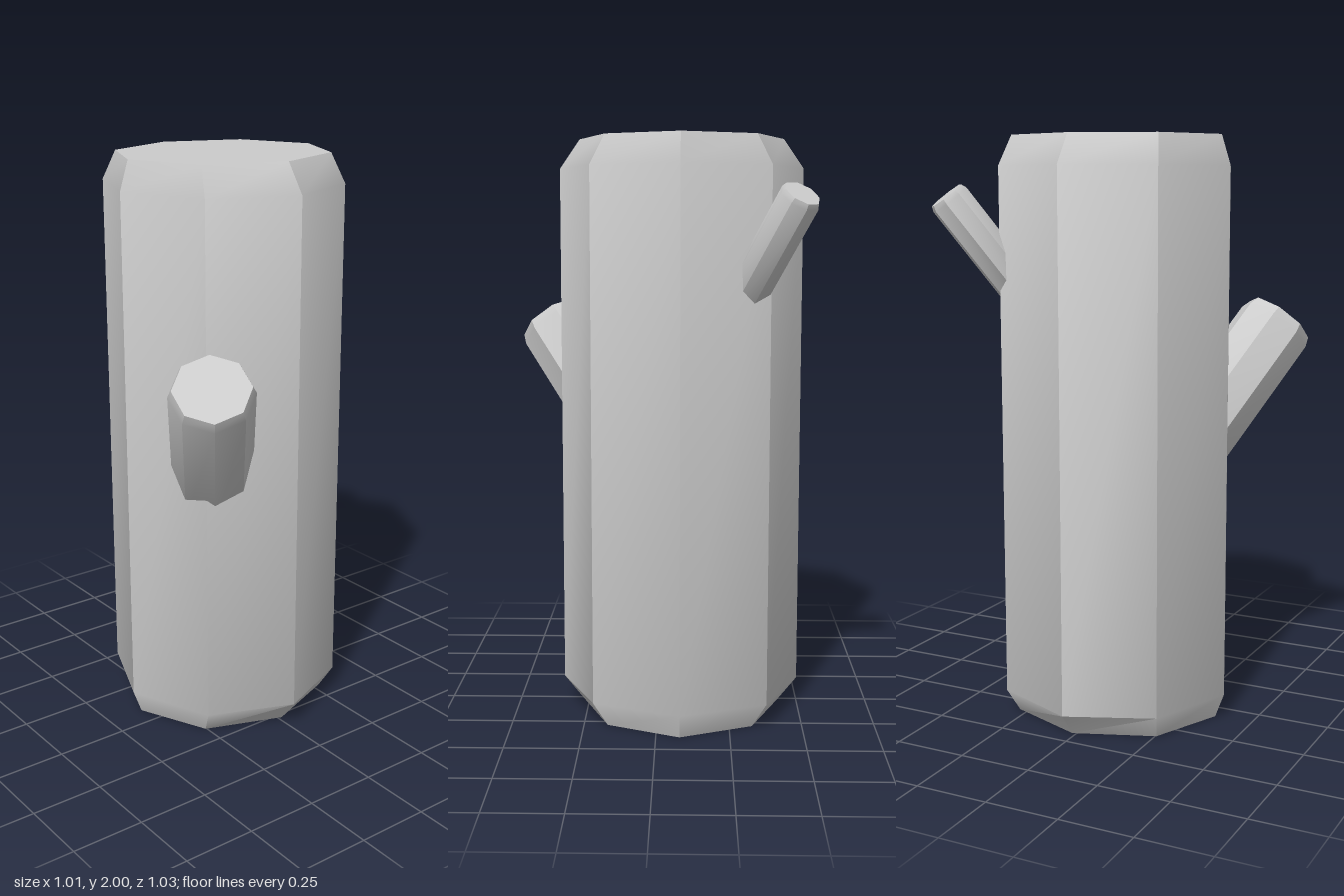
import * as THREE from 'three';
import { toCreasedNormals } from 'three/addons/utils/BufferGeometryUtils.js';

const material = new THREE.MeshStandardMaterial({ color: 0xcccccc });

// Eight-sided log with chamfered ends; rings run bottom to top as [radiusX, radiusZ, y]
function logGeometry(rings) {
  const geometry = new THREE.CylinderGeometry(1, 1, 1, 8, rings.length - 1);
  const pos = geometry.attributes.position;
  for (let i = 0; i < pos.count; i++) {
    const row = Math.round((pos.getY(i) + 0.5) * (rings.length - 1));
    const [rx, rz, y] = rings[row];
    pos.setXYZ(i, pos.getX(i) * rx, y, pos.getZ(i) * rz);
  }
  return toCreasedNormals(geometry, THREE.MathUtils.degToRad(36));
}

// Branch whose cut end is centred on tip; corner points from the axis to one corner of the cut
function makeBranch(name, tip, direction, corner, length, radius, capRadius, bevel) {
  const mesh = new THREE.Mesh(logGeometry([
    [capRadius, capRadius, -length],
    [radius, radius, -length + bevel],
    [radius, radius, -bevel],
    [capRadius, capRadius, 0],
  ]), material);
  const axis = new THREE.Vector3(...direction).normalize();
  const side = new THREE.Vector3().crossVectors(axis, new THREE.Vector3(...corner)).normalize();
  const out = new THREE.Vector3().crossVectors(side, axis);
  mesh.quaternion.setFromRotationMatrix(new THREE.Matrix4().makeBasis(side, axis, out));
  mesh.position.set(...tip);
  mesh.name = name;
  return mesh;
}

export function createModel() {
  const group = new THREE.Group();
  group.name = 'treeStump';

  // Upright trunk
  const trunk = new THREE.Mesh(logGeometry([
    [0.379, 0.351, 0],
    [0.411, 0.42, 0.085],
    [0.411, 0.42, 1.9],
    [0.379, 0.351, 2],
  ]), material);
  trunk.position.set(0.014, 0, -0.08);
  trunk.name = 'trunk';
  group.add(trunk);

  // Thick sawn-off branch at the front, thin one at the back
  group.add(makeBranch('frontBranch', [-0.395, 1.355, 0.41], [-0.39, 0.755, 0.53],
    [-0.115, -0.065, 0.008], 0.7, 0.139, 0.127, 0.035));
  group.add(makeBranch('backBranch', [0.453, 1.803, -0.462], [0.46, 0.79, -0.4],
    [0.05, -0.037, -0.015], 0.5, 0.07, 0.062, 0.018));

  return group;
}
